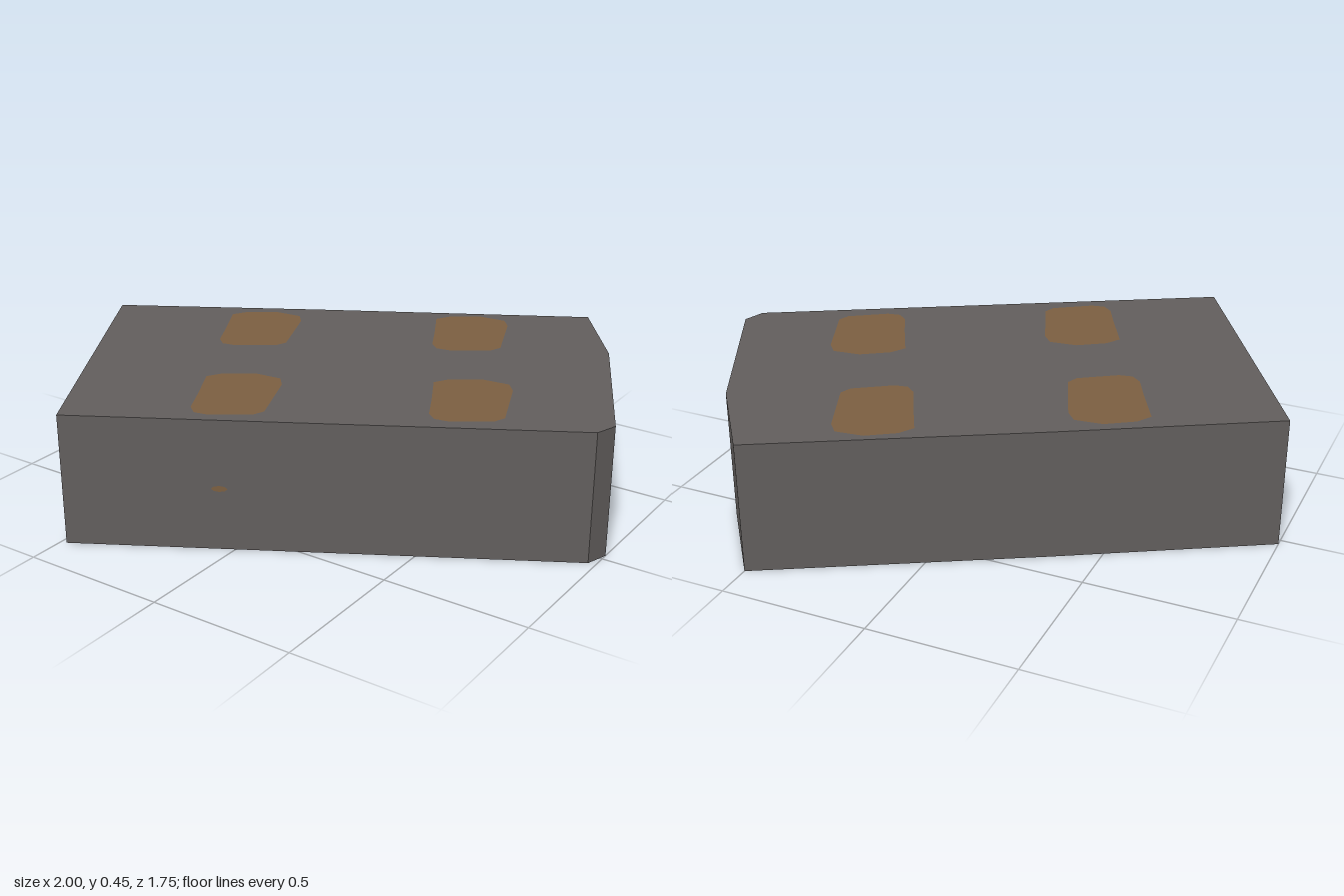
import * as THREE from 'three';

const HEIGHT = 0.45;

// Footprint corners as [x, z], walked so that each wall faces outward
const FOOTPRINT = [
  [-0.48, 0.87], [0.975, 0.05], [1, -0.025], [0.72, -0.58],
  [0.5, -0.875], [-0.35, -0.4], [-1, -0.025],
];

// Outline of one rounded roof patch as [x, z] around its middle
const PATCH = [
  [-0.165, -0.07], [-0.135, -0.12], [-0.045, -0.18], [0.05, -0.19],
  [0.085, -0.15], [0.17, 0.06], [0.155, 0.1], [0.035, 0.18],
  [-0.01, 0.188], [-0.045, 0.16], [-0.09, 0.07],
];
const PATCH_CENTRES = [[0.215, -0.48], [-0.43, -0.105], [0.52, 0.05], [-0.13, 0.425]];

const toPoints = (list, cx = 0, cz = 0) =>
  list.map(([x, z]) => new THREE.Vector2(x + cx, -(z + cz)));

export function createModel() {
  const group = new THREE.Group();
  const grey = new THREE.MeshStandardMaterial({ color: 0x625e5d, side: THREE.DoubleSide });
  grey.name = 'dark grey';
  const brown = new THREE.MeshStandardMaterial({ color: 0x7c5f41, side: THREE.DoubleSide });
  brown.name = 'rust brown';

  const add = (name, geometry, material) => {
    const mesh = new THREE.Mesh(geometry, material);
    mesh.name = name;
    group.add(mesh);
    return mesh;
  };
  const addFlat = (name, shape, material) => {
    const geometry = new THREE.ShapeGeometry(shape);
    geometry.rotateX(-Math.PI / 2);
    add(name, geometry, material).position.y = HEIGHT;
  };

  // Walls: one thin sheet per side, open underneath
  FOOTPRINT.forEach(([x, z], i) => {
    const [nx, nz] = FOOTPRINT[(i + 1) % FOOTPRINT.length];
    const wall = add('wall', new THREE.PlaneGeometry(Math.hypot(nx - x, nz - z), HEIGHT), grey);
    wall.position.set((x + nx) / 2, HEIGHT / 2, (z + nz) / 2);
    wall.rotation.y = Math.atan2(z - nz, nx - x);
  });

  // Roof with the patches let in flush, so they show from both sides
  const roof = new THREE.Shape(toPoints(FOOTPRINT));
  for (const [cx, cz] of PATCH_CENTRES) {
    const outline = toPoints(PATCH, cx, cz);
    roof.holes.push(new THREE.Path(outline));
    addFlat('roofPatch', new THREE.Shape(outline), brown);
  }
  addFlat('roof', roof, grey);

  // Small rust spot on the front wall
  const spot = add('wallSpot', new THREE.CircleGeometry(0.026, 8), brown);
  const [[ax, az], [bx, bz]] = FOOTPRINT;
  const t = (-0.04 - ax) / (bx - ax);
  spot.rotation.y = Math.atan2(az - bz, bx - ax);
  spot.position.set(-0.04, 0.215, az + (bz - az) * t);
  spot.translateZ(0.003);
  spot.scale.y = 0.4;

  return group;
}
